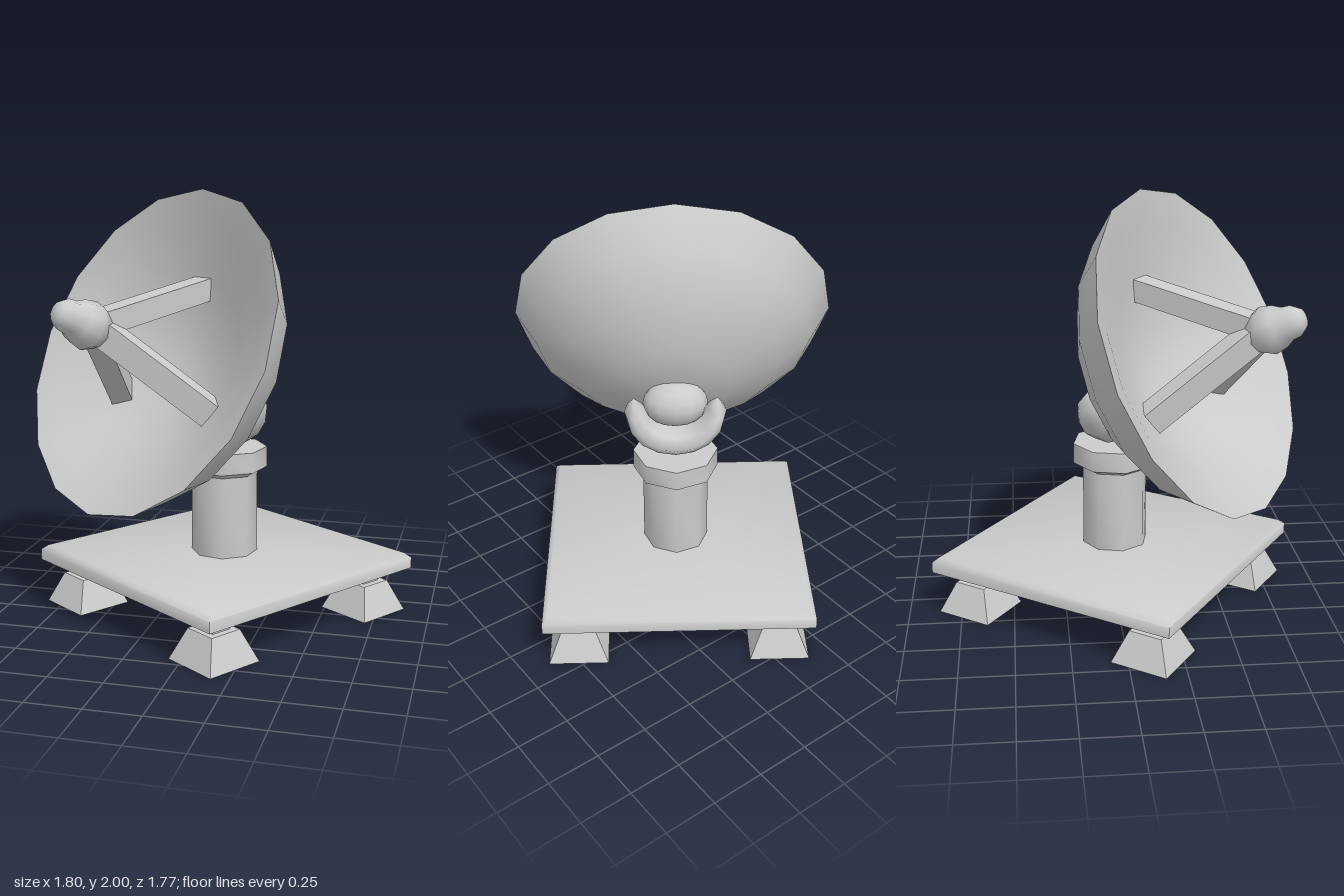
import * as THREE from 'three';
import { toCreasedNormals, mergeVertices } from 'three/addons/utils/BufferGeometryUtils.js';

const material = new THREE.MeshStandardMaterial({ color: 0xcccccc, side: THREE.DoubleSide });

function add(parent, name, geometry, x = 0, y = 0, z = 0) {
  const mesh = new THREE.Mesh(geometry, material);
  mesh.name = name;
  mesh.position.set(x, y, z);
  parent.add(mesh);
  return mesh;
}

// Turned profile given as [radius, height] pairs, listed from the bottom up
function turned(profile, sides, start = 0) {
  const points = profile.map(([r, y]) => new THREE.Vector2(r, y));
  return toCreasedNormals(new THREE.LatheGeometry(points, sides, start), 1);
}

// Square profile: the pairs are [half width, height]
const squared = (profile) =>
  turned(profile.map(([h, y]) => [h * Math.SQRT2, y]), 4, Math.PI / 4);

// U-shaped crescent, thick at the bottom and tapering to two horns
function crescent(radius, steps, sides) {
  const positions = [], index = [];
  for (let i = 0; i <= steps; i++) {
    const t = (i / steps) * 2 - 1;
    const a = -Math.PI / 2 + t * 1.75;
    const k = Math.sqrt(1 - Math.abs(t) ** 2.5);
    for (let j = 0; j < sides; j++) {
      const b = (j / sides) * Math.PI * 2;
      const r = radius + 0.068 * k * Math.cos(b);
      positions.push(r * Math.cos(a), r * Math.sin(a), 0.115 * k * Math.sin(b));
      if (i < steps) {
        const p = i * sides + j, q = i * sides + (j + 1) % sides;
        index.push(p, p + sides, q, q, p + sides, q + sides);
      }
    }
  }
  const geometry = new THREE.BufferGeometry();
  geometry.setAttribute('position', new THREE.Float32BufferAttribute(positions, 3));
  geometry.setIndex(index);
  const welded = mergeVertices(geometry);
  welded.computeVertexNormals();
  return welded;
}

export function createModel() {
  const model = new THREE.Group();
  model.name = 'dishAntenna';
  const body = new THREE.Group();
  body.name = 'antennaBody';
  body.position.x = 0.02;
  body.rotation.y = -THREE.MathUtils.degToRad(35);
  model.add(body);

  // Base plate, open underneath, on four flared feet
  add(body, 'basePlate', squared([[0.635, 0.21], [0.635, 0.262], [0.61, 0.285], [0, 0.285]]));
  for (const x of [-0.475, 0.475]) {
    for (const z of [-0.475, 0.475]) {
      add(body, 'foot', squared([[0.14, 0], [0.08, 0.145], [0, 0.145]]), x, 0, z);
      add(body, 'footStem', squared([[0.049, 0.145], [0.049, 0.28]]), x, 0, z);
    }
  }

  // Pillar with a collar
  add(body, 'pillar', turned([[0.157, 0.255], [0.157, 0.69]], 8));
  add(body, 'collar', turned([[0.15, 0.67], [0.203, 0.7], [0.203, 0.797], [0, 0.797]], 8));

  // Flattened ball joint held in a cradle
  const ball = add(body, 'ballJoint', new THREE.SphereGeometry(1, 12, 8), 0, 1.05, 0.02);
  ball.scale.set(0.155, 0.115, 0.115);
  const cradle = add(body, 'cradle', crescent(0.2, 10, 8), 0, 1.063, -0.015);
  cradle.rotation.x = -0.12;

  // Dish assembly: its local +z is the pointing direction, its origin the rim centre
  const dish = new THREE.Group();
  dish.name = 'dish';
  dish.position.set(0, 1.305, 0.46);
  dish.rotation.x = -0.443;
  body.add(dish);

  // Reflector: rounded back, sharp rim, shallower inner face
  const reflector = turned([
    [0, -0.48], [0.27, -0.437], [0.5, -0.325], [0.66, -0.185], [0.77, 0],
    [0.64, -0.055], [0.4, -0.18], [0.2, -0.255], [0, -0.285],
  ], 16);
  add(dish, 'reflector', reflector.rotateX(Math.PI / 2));

  // Three struts reaching from the reflector to the feed
  const apex = new THREE.Vector3(0, 0, 0.31);
  const root = new THREE.Vector3(0, 0.37, -0.2);
  const middle = root.clone().lerp(apex, 0.5);
  for (let i = 0; i < 3; i++) {
    const arm = new THREE.Group();
    arm.name = 'strutArm';
    arm.rotation.z = (i * Math.PI * 2) / 3;
    dish.add(arm);
    const box = new THREE.BoxGeometry(0.115, 0.1, root.distanceTo(apex));
    const strut = add(arm, 'strut', box, ...middle);
    strut.rotation.x = Math.atan2(root.y, apex.z - root.z);
  }

  // Feed head with a slightly narrower nose
  const feed = turned([
    [0, 0.24], [0.08, 0.265], [0.11, 0.33], [0.097, 0.39], [0.075, 0.43],
    [0.07, 0.47], [0.045, 0.505], [0, 0.515],
  ], 10);
  add(dish, 'feedHead', feed.rotateX(Math.PI / 2), 0, -0.012, 0);

  return model;
}
